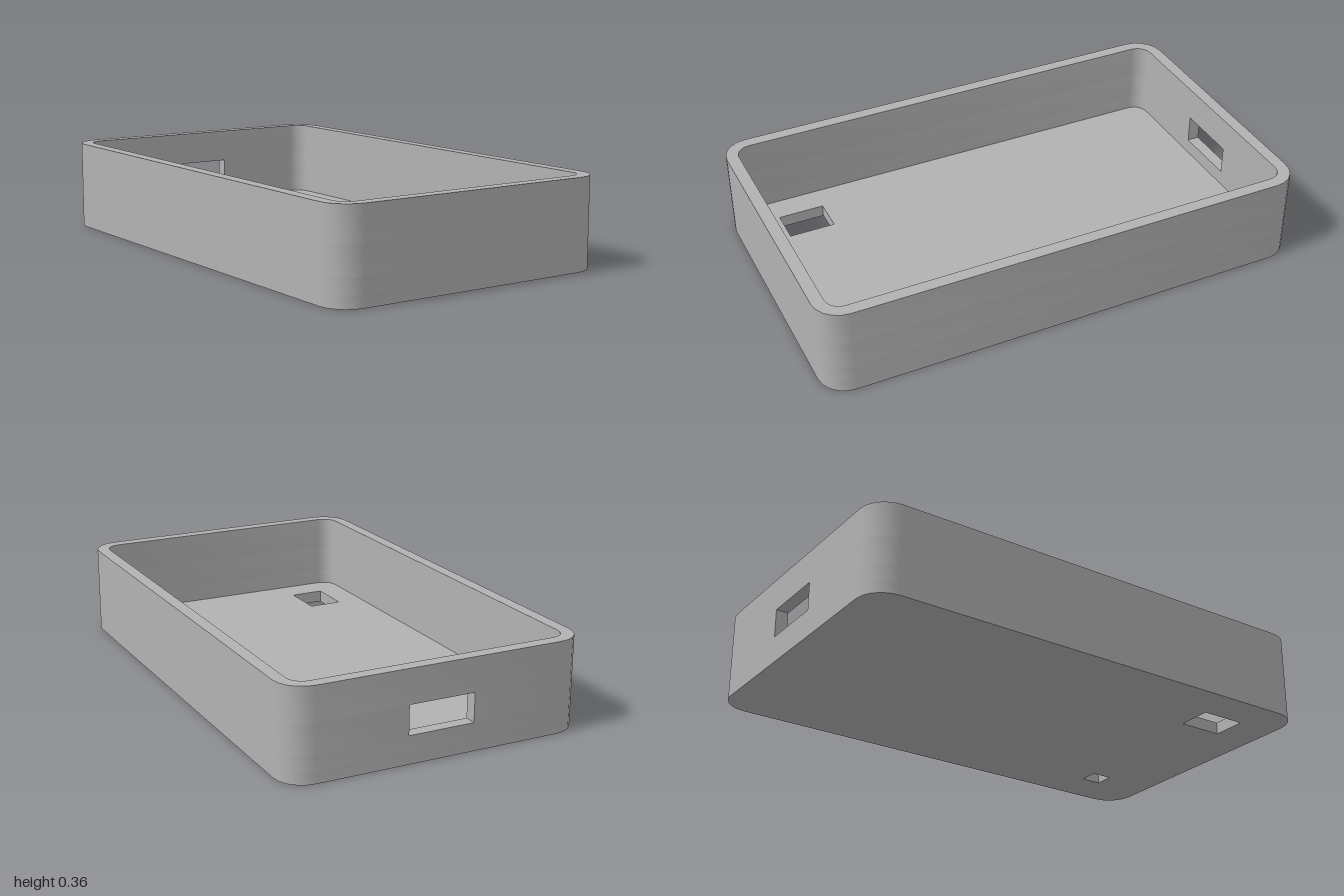
import * as THREE from 'three';
import { toCreasedNormals } from 'three/addons/utils/BufferGeometryUtils.js';

// Overall sizes
const HALF_W = 0.605, HALF_L = 1, HEIGHT = 0.36;
const WALL = 0.05, FLOOR = 0.05, RADIUS = 0.11;
const SLOT = { half: 0.133, bottom: 0.11, top: 0.225 };

// Rounded outline, counter-clockwise from the back middle (shape y points to the back)
function outline(inset) {
  const w = HALF_W - inset, l = HALF_L - inset, r = RADIUS - inset;
  const steps = 5, points = [];
  const signs = [[-1, 1], [-1, -1], [1, -1], [1, 1]];
  signs.forEach(([sx, sy], i) => {
    for (let k = 0; k <= steps; k++) {
      const a = (Math.PI / 2) * (1 + i + k / steps);
      points.push(new THREE.Vector2(sx * (w - r) + r * Math.cos(a), sy * (l - r) + r * Math.sin(a)));
    }
  });
  return points;
}

// Rectangular cut-out given in x and z
function rectHole(x0, x1, z0, z1) {
  return new THREE.Path([[x0, -z0], [x1, -z0], [x1, -z1], [x0, -z1]].map(p => new THREE.Vector2(...p)));
}

// Closed wall ring
function ring() {
  const shape = new THREE.Shape(outline(0));
  shape.holes.push(new THREE.Path(outline(WALL)));
  return shape;
}

// Wall ring left open at the back for the slot
function openRing() {
  const ends = inset => [
    new THREE.Vector2(-SLOT.half, HALF_L - inset),
    ...outline(inset),
    new THREE.Vector2(SLOT.half, HALF_L - inset),
  ];
  return new THREE.Shape([...ends(0), ...ends(WALL).reverse()]);
}

// Upright slab between two heights
function slab(name, shape, y0, y1, material) {
  const raw = new THREE.ExtrudeGeometry(shape, { depth: y1 - y0, bevelEnabled: false });
  raw.rotateX(-Math.PI / 2);
  raw.translate(0, y0, 0);
  const mesh = new THREE.Mesh(toCreasedNormals(raw, Math.PI / 6), material);
  mesh.name = name;
  return mesh;
}

export function createModel() {
  const grey = new THREE.MeshStandardMaterial({ color: 0xb2b2b2 });
  grey.name = 'grey plastic';

  const tray = new THREE.Group();
  tray.name = 'caseTray';

  // Floor with a large and a small opening near the front
  const floor = new THREE.Shape(outline(0));
  floor.holes.push(rectHole(-0.444, -0.304, 0.637, 0.825));
  floor.holes.push(rectHole(0.351, 0.431, 0.685, 0.772));
  tray.add(slab('floor', floor, 0, FLOOR, grey));

  // Walls, in three bands around the back slot
  tray.add(slab('lowerWall', ring(), FLOOR, SLOT.bottom, grey));
  tray.add(slab('slottedWall', openRing(), SLOT.bottom, SLOT.top, grey));
  tray.add(slab('upperWall', ring(), SLOT.top, HEIGHT, grey));

  return tray;
}
